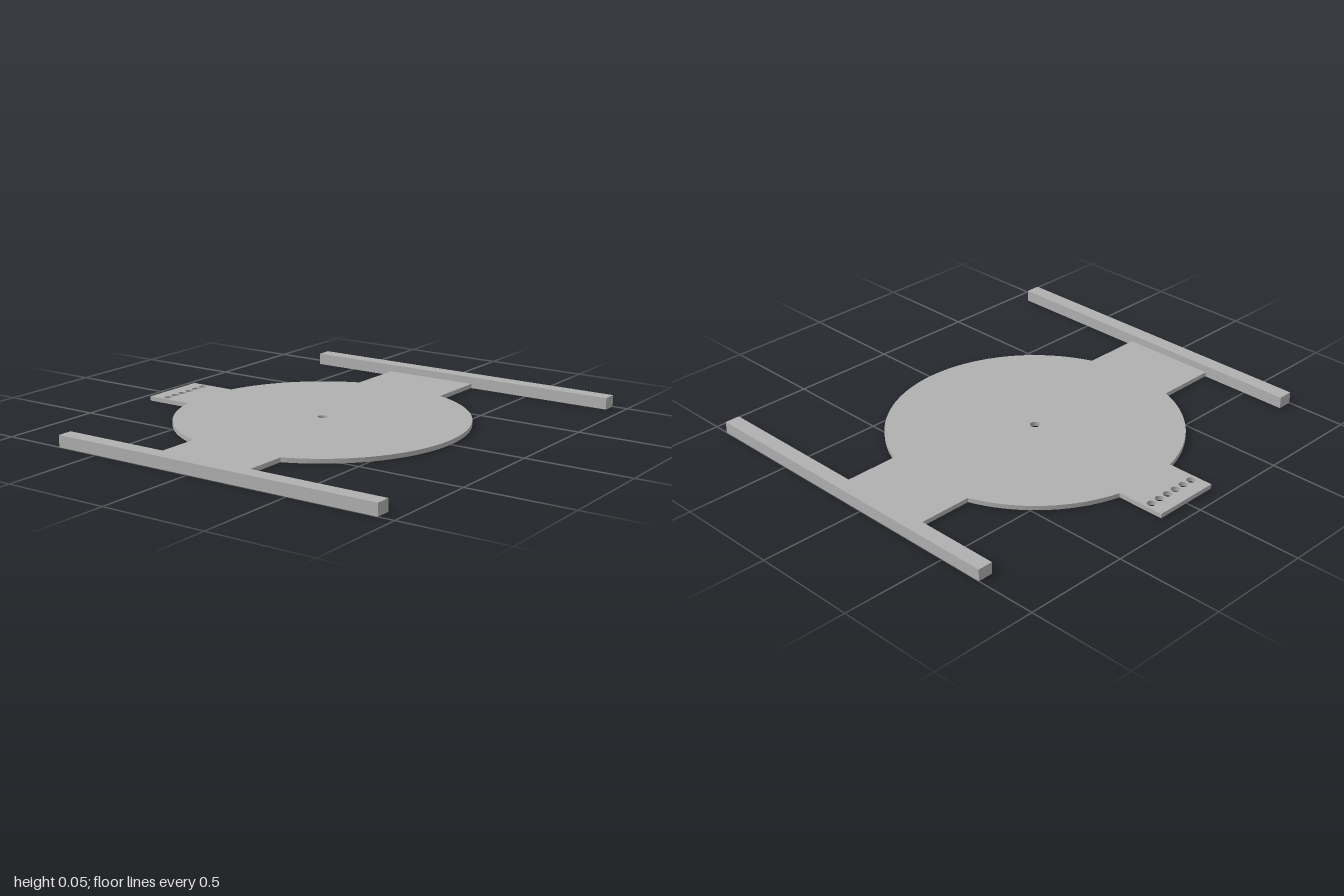
import * as THREE from 'three';

const PLATE_H = 0.021, RAIL_H = 0.055;
const RADIUS = 0.678, CENTER = 0.037;   // disc, in shape space (shape y = -z)
const ARM_X = 0.928, ARM_BACK = 0.268, ARM_FRONT = -0.2;
const TAB_X = 0.163, TAB_BACK = 0.925;

export function createModel() {
  const group = new THREE.Group();
  const grey = new THREE.MeshStandardMaterial({ color: 0xb0b0b0 });
  grey.name = 'grey';

  // Angles where the arms and the tab meet the disc
  const armBack = Math.asin((ARM_BACK - CENTER) / RADIUS);
  const armFront = Math.asin((ARM_FRONT - CENTER) / RADIUS);
  const tab = Math.acos(TAB_X / RADIUS);

  // Disc with two side arms and a rear tab, as one outline
  const outline = new THREE.Shape();
  outline.moveTo(ARM_X, ARM_FRONT);
  outline.lineTo(ARM_X, ARM_BACK);
  outline.absarc(0, CENTER, RADIUS, armBack, tab, false);
  outline.lineTo(TAB_X, TAB_BACK);
  outline.lineTo(-TAB_X, TAB_BACK);
  outline.absarc(0, CENTER, RADIUS, Math.PI - tab, Math.PI - armBack, false);
  outline.lineTo(-ARM_X, ARM_BACK);
  outline.lineTo(-ARM_X, ARM_FRONT);
  outline.absarc(0, CENTER, RADIUS, Math.PI - armFront, Math.PI * 2 + armFront, false);

  // Centre hole and the row of six tab holes
  const addHole = (x, y, r) => {
    const hole = new THREE.Path();
    hole.absarc(x, y, r, 0, Math.PI * 2, true);
    outline.holes.push(hole);
  };
  addHole(0, CENTER, 0.024);
  for (let i = 0; i < 6; i++) addHole((i - 2.5) * 0.0513, 0.842, 0.0205);

  const plateGeometry = new THREE.ExtrudeGeometry(outline, {
    depth: PLATE_H, bevelEnabled: false, curveSegments: 48,
  });
  plateGeometry.rotateX(-Math.PI / 2);
  const plate = new THREE.Mesh(plateGeometry, grey);
  plate.name = 'basePlate';
  group.add(plate);

  // Long side rails at the ends of the arms
  const railBack = -0.711, railFront = 0.925, railWidth = 1 - ARM_X;
  const railGeometry = new THREE.BoxGeometry(railWidth, RAIL_H, railFront - railBack);
  for (const side of [1, -1]) {
    const rail = new THREE.Mesh(railGeometry, grey);
    rail.name = side > 0 ? 'leftRail' : 'rightRail';
    rail.position.set(side * (1 - railWidth / 2), RAIL_H / 2, (railFront + railBack) / 2);
    group.add(rail);
  }

  return group;
}
